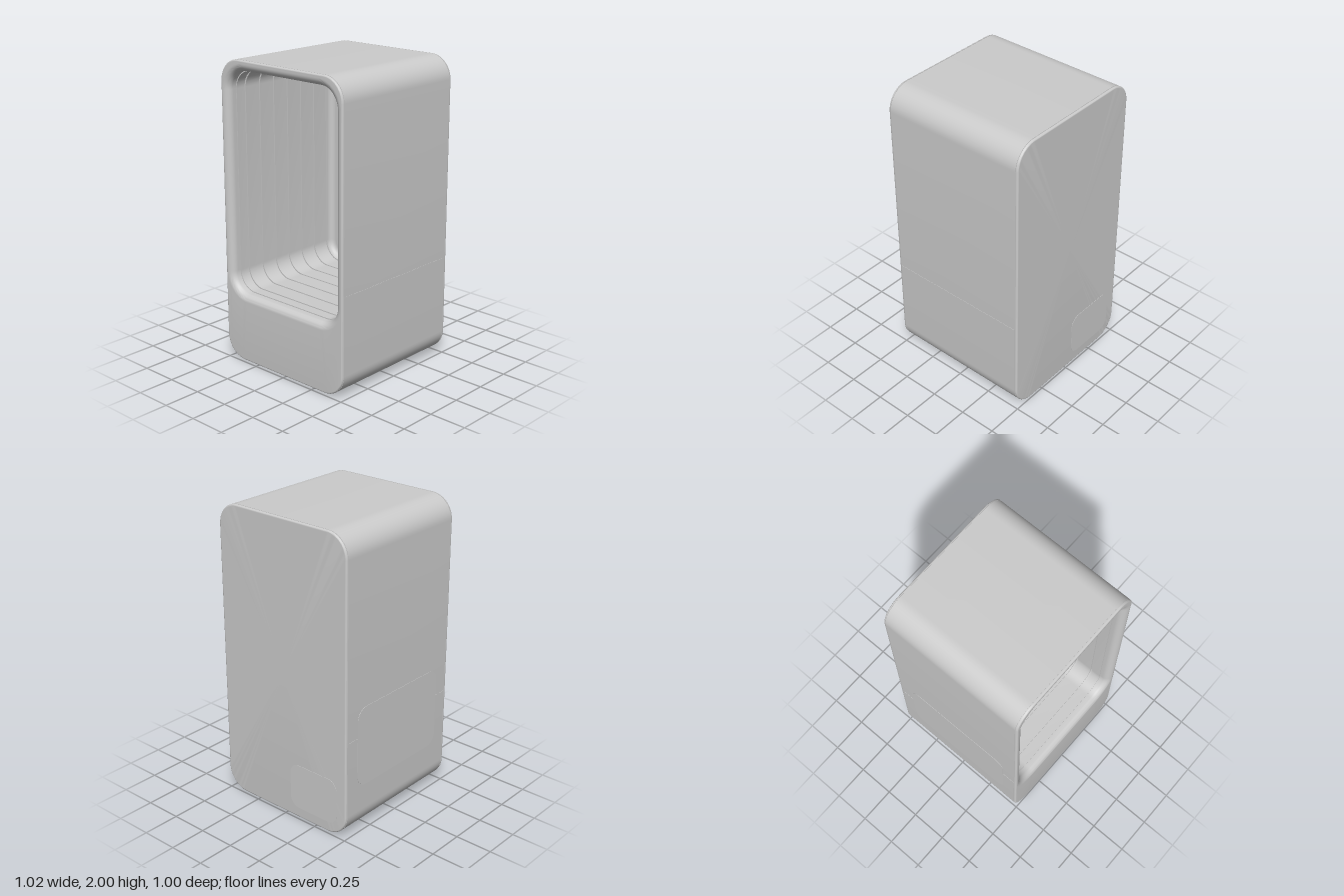
import * as THREE from 'three';
import { toCreasedNormals } from 'three/addons/utils/BufferGeometryUtils.js';

const W = 0.51, BOTTOM = 0.015, TOP = 2, D = 0.5, R = 0.15; // outer shell
const OW = 0.45, OB = 0.475, OT = 1.93, OR = 0.13;          // front opening
const CORNER = 14;

// Rounded-rectangle loop at depth z, counter-clockwise from the front; grow offsets it outwards.
function loop(hw, y0, y1, r, z, grow = 0) {
  const rr = r + grow, x = hw - r, pts = [];
  const centres = [[x, y1 - r], [-x, y1 - r], [-x, y0 + r], [x, y0 + r]];
  centres.forEach(([cx, cy], k) => {
    for (let i = 0; i <= CORNER; i++) {
      const a = (k + i / CORNER) * Math.PI / 2;
      pts.push(new THREE.Vector3(cx + rr * Math.cos(a), cy + rr * Math.sin(a), z));
    }
  });
  return pts;
}
const outer = (z, grow = 0) => loop(W, BOTTOM, TOP, R, z, grow);
const inner = (z, grow = 0) => loop(OW, OB, OT, OR, z, grow);
const centre = (y, z) => outer(0).map(() => new THREE.Vector3(0, y, z));

// Skin between successive loops, keeping hard edges sharp.
function loft(rings) {
  const pos = [];
  const tri = (a, b, c) => {
    if (a.distanceTo(b) < 1e-6 || b.distanceTo(c) < 1e-6 || a.distanceTo(c) < 1e-6) return;
    pos.push(...a.toArray(), ...b.toArray(), ...c.toArray());
  };
  for (let r = 0; r < rings.length - 1; r++) {
    const A = rings[r], B = rings[r + 1];
    for (let i = 0; i < A.length; i++) {
      const j = (i + 1) % A.length;
      tri(A[i], A[j], B[i]);
      tri(A[j], B[j], B[i]);
    }
  }
  const g = new THREE.BufferGeometry();
  g.setAttribute('position', new THREE.Float32BufferAttribute(pos, 3));
  return toCreasedNormals(g, 0.6);
}

// Quarter-round sequence: calls make(sin, cos) from 0 to 90 degrees.
const quarter = (n, make) => Array.from({ length: n + 1 }, (_, i) => {
  const a = (i / n) * Math.PI / 2;
  return make(Math.sin(a), Math.cos(a));
});

// Outline with rounded corners, centred on the origin.
function roundedShape(w, h, r) {
  const s = new THREE.Shape(), x = w / 2 - r, y = h / 2 - r;
  s.absarc(x, y, r, 0, Math.PI / 2);
  s.absarc(-x, y, r, Math.PI / 2, Math.PI);
  s.absarc(-x, -y, r, Math.PI, Math.PI * 1.5);
  s.absarc(x, -y, r, Math.PI * 1.5, Math.PI * 2);
  return s;
}

export function createModel() {
  const group = new THREE.Group();
  const mat = new THREE.MeshStandardMaterial({ color: 0xcccccc });
  const add = (name, geo, x = 0, y = 0, z = 0) => {
    const m = new THREE.Mesh(geo, mat);
    m.name = name;
    m.position.set(x, y, z);
    group.add(m);
    return m;
  };

  // Outer shell: back face, softened edges, hairline seams, front face and rounded lip
  const e = 0.01, f = 0.048, seam = 0.485, gw = 0.002, gd = 0.003;
  const seamRings = z => [[-gw, 0], [-gw, -gd], [gw, -gd], [gw, 0]].map(([dz, g]) => outer(z + dz, g));
  add('shell', loft([
    centre(1, -D),
    outer(-D, -e - 0.004),
    ...quarter(4, (s, c) => outer(-D + e * (1 - c), -e + e * s)),
    ...seamRings(-seam),
    ...seamRings(seam),
    ...quarter(4, (s, c) => outer(D - e + e * s, -e + e * c)),
    outer(D, -e - 0.001),
    inner(D, f + 0.001),
    ...quarter(10, (s, c) => inner(D - f + f * s, f - f * c)).reverse(),
    inner(0.43),
  ]));

  // Recess liner: slight step inwards, seven ring grooves and a coved back wall
  const step = -0.006, cove = 0.04, back = -0.43;
  const liner = [inner(0.43), inner(0.43, step)];
  for (let i = 0; i < 7; i++) {
    const z = 0.36 - i * 0.123;
    for (const [dz, g] of [[0.006, 0], [0.006, 0.009], [-0.006, 0.009], [-0.006, 0]])
      liner.push(inner(z + dz, step + g));
  }
  liner.push(
    ...quarter(6, (s, c) => inner(back + cove - cove * s, step - cove + cove * c)),
    inner(back, step - cove - 0.004),
    centre((OB + OT) / 2, back));
  add('recessLiner', loft(liner));

  // Flush access covers on the back and on the right side
  const cover = (w, h, r) => new THREE.ExtrudeGeometry(roundedShape(w, h, r),
    { depth: 0.004, bevelEnabled: false, curveSegments: 10 });
  add('backCover', cover(0.385, 0.31, 0.07), -0.243, 0.24, -D - 0.002);
  add('sideCover', cover(0.78, 0.54, 0.08).rotateY(-Math.PI / 2), -W + 0.002, 0.605, 0);

  // Horizontal side joints; the right one stops at the side cover
  const joint = (name, x, z0, z1) =>
    add(name, new THREE.BoxGeometry(0.003, 0.004, z1 - z0), x, 0.68, (z0 + z1) / 2);
  joint('leftJoint', W, -0.48, 0.48);
  joint('rightRearJoint', -W, -0.48, -0.39);
  joint('rightFrontJoint', -W, 0.39, 0.48);

  // Two long rounded foot strips
  for (const s of [-1, 1]) {
    const foot = new THREE.ExtrudeGeometry(roundedShape(0.07, 0.86, 0.034),
      { depth: 0.02, bevelEnabled: false, curveSegments: 8 }).rotateX(-Math.PI / 2);
    add(s > 0 ? 'leftFoot' : 'rightFoot', foot, s * 0.255, 0, 0);
  }
  return group;
}
